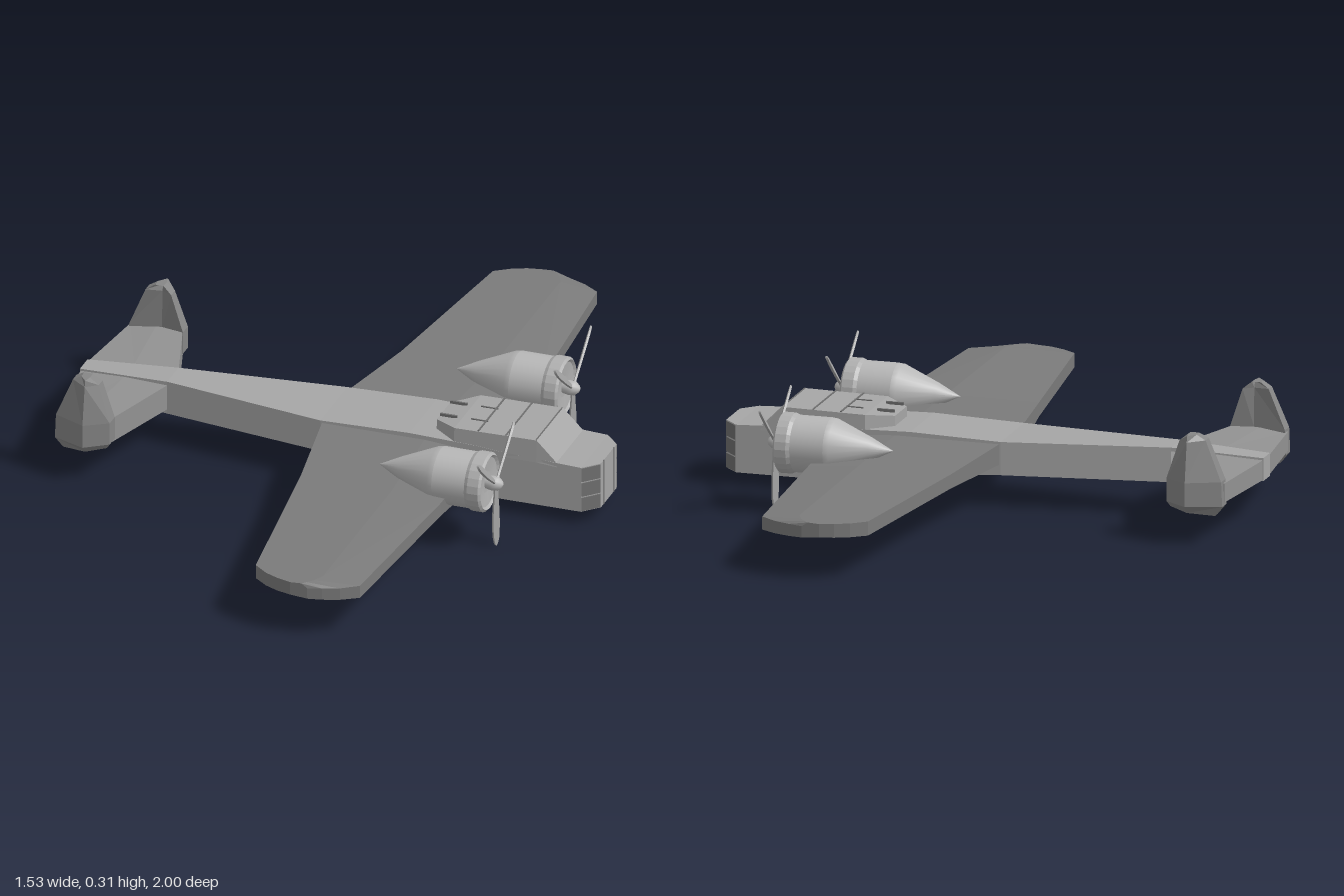
import * as THREE from 'three';

const paint = (color, flatShading = true) => new THREE.MeshStandardMaterial({ color, flatShading });
const bodyGrey = paint(0xa6a6a6);
const wingGrey = paint(0x7b7b7b);
const tailGrey = paint(0x929292);
const finGrey = paint(0x868686);
const darkGrey = paint(0x707070);
const bladeGrey = paint(0xa4a4a4);
const engineGrey = paint(0xb8b8b8, false);
const ringGrey = paint(0xb0b0b0);

// Closed skin through rings of equal point count, with flat end caps
function loft(name, material, rings) {
  let tris = [];
  const n = rings[0].length;
  for (let i = 0; i + 1 < rings.length; i++) {
    for (let j = 0; j < n; j++) {
      const k = (j + 1) % n, a = rings[i], b = rings[i + 1];
      tris.push([a[j], a[k], b[k]], [a[j], b[k], b[j]]);
    }
  }
  const first = rings[0], last = rings[rings.length - 1];
  for (let j = 1; j + 1 < n; j++) {
    tris.push([first[0], first[j + 1], first[j]], [last[0], last[j], last[j + 1]]);
  }
  // Turn the skin outwards if its signed volume is negative
  const v = (p) => new THREE.Vector3(...p);
  const volume = tris.reduce((s, t) => s + v(t[0]).dot(v(t[1]).cross(v(t[2]))), 0);
  if (volume < 0) tris = tris.map(([a, b, c]) => [a, c, b]);
  const geo = new THREE.BufferGeometry();
  geo.setAttribute('position', new THREE.Float32BufferAttribute(tris.flat(2), 3));
  geo.computeVertexNormals();
  const mesh = new THREE.Mesh(geo, material);
  mesh.name = name;
  return mesh;
}

function box(name, size, pos) {
  const mesh = new THREE.Mesh(new THREE.BoxGeometry(...size), darkGrey);
  mesh.name = name;
  mesh.position.set(...pos);
  return mesh;
}

// Rectangular section across the body
const section = (x, bottom, top, w, wTop = w) =>
  [[x, bottom, -w], [x, bottom, w], [x, top, wTop], [x, top, -wTop]];

function createBody() {
  const g = new THREE.Group();
  g.name = 'body';
  g.add(loft('fuselage', bodyGrey, [
    section(-0.77, 0.115, 0.18, 0.03),
    section(-0.51, 0.095, 0.193, 0.045),
    section(-0.04, 0.093, 0.187, 0.107),
    section(0.22, 0.075, 0.195, 0.108),
    section(0.42, 0.06, 0.19, 0.108),
    section(0.48, 0.04, 0.185, 0.108),
    section(0.72, 0.04, 0.175, 0.106),
    section(0.762, 0.04, 0.175, 0.062),
  ]));
  // Raised cockpit with a chamfered rear and a sloping windscreen
  g.add(loft('canopy', bodyGrey, [
    section(0.28, 0.18, 0.222, 0.055, 0.053),
    section(0.35, 0.17, 0.232, 0.108, 0.105),
    section(0.59, 0.17, 0.236, 0.108, 0.105),
    section(0.65, 0.165, 0.176, 0.107, 0.105),
  ]));
  for (const x of [0.42, 0.5, 0.588]) g.add(box('canopyFrame', [0.004, 0.003, 0.208], [x, 0.2355, 0]));
  for (const z of [-0.04, 0.04]) {
    g.add(box('canopyRail', [0.05, 0.003, 0.004], [0.4, 0.234, z]));
    g.add(box('noseFrame', [0.003, 0.135, 0.004], [0.762, 0.108, z]));
    g.add(box('rearGun', [0.05, 0.008, 0.006], [0.31, 0.232, z]));
  }
  // Dark panes on the chamfered nose corners
  for (const s of [1, -1]) {
    for (const y of [0.0625, 0.1075, 0.1525]) {
      const pane = box('nosePane', [0.057, 0.041, 0.005], [0.741, y, 0.084 * s]);
      pane.rotation.y = 0.81 * s;
      g.add(pane);
    }
  }
  return g;
}

// Wing section: blunt edges, with the underside falling towards the front
function wingRing(z, back, front, backBottom, bottom, top, s) {
  const mid = back + (front - back) * 0.65;
  return [
    [back, backBottom, z * s], [mid, (backBottom + bottom) / 2, z * s], [front, bottom, z * s],
    [front, top - 0.012, z * s], [mid, top, z * s], [back, top - 0.002, z * s],
  ];
}

function createWing(s) {
  return loft('wing', wingGrey, [
    wingRing(0.05, -0.045, 0.425, 0.12, 0.08, 0.185, s),
    wingRing(0.11, -0.035, 0.425, 0.122, 0.085, 0.182, s),
    wingRing(0.4, 0.01, 0.42, 0.126, 0.117, 0.168, s),
    wingRing(0.94, 0.078, 0.382, 0.124, 0.117, 0.166, s),
    wingRing(0.972, 0.12, 0.335, 0.124, 0.118, 0.165, s),
    wingRing(0.99, 0.16, 0.29, 0.124, 0.119, 0.165, s),
    wingRing(1.0, 0.2, 0.25, 0.124, 0.12, 0.164, s),
  ]);
}

function createTail(s) {
  const g = new THREE.Group();
  g.name = 'tail';
  const plane = (z, back, front, bottom, top) => [
    [back, bottom + 0.01, z * s], [(back + front) / 2, bottom, z * s], [front, bottom, z * s],
    [front, top, z * s], [(back + front) / 2, top, z * s], [back, top - 0.008, z * s],
  ];
  g.add(loft('tailplane', tailGrey, [
    plane(0, -0.769, -0.5, 0.108, 0.182),
    plane(0.045, -0.767, -0.51, 0.108, 0.182),
    plane(0.29, -0.74, -0.587, 0.108, 0.18),
  ]));
  // Fin bent outwards along its middle, narrowing to the top
  const fin = (yBack, yFront, back, front, inner, outer) => {
    const x = -0.645, y = (yBack + yFront) / 2, edge = (inner + outer) / 2;
    return [[back, yBack, inner * s], [x, y, (inner + 0.012) * s], [front, yFront, inner * s],
      [front, yFront, edge * s], [x, y, outer * s], [back, yBack, edge * s]];
  };
  g.add(loft('fin', finGrey, [
    fin(0.082, 0.1, -0.718, -0.59, 0.28, 0.33),
    fin(0.11, 0.115, -0.74, -0.58, 0.27, 0.35),
    fin(0.18, 0.18, -0.737, -0.58, 0.27, 0.35),
    fin(0.293, 0.288, -0.69, -0.615, 0.272, 0.332),
    fin(0.308, 0.308, -0.665, -0.64, 0.28, 0.328),
  ]));
  return g;
}

// Surface of revolution along +x, from [x, radius] pairs
function turned(name, profile, material, sides = 24) {
  const geo = new THREE.LatheGeometry(profile.map(([x, r]) => new THREE.Vector2(r, x)), sides);
  geo.rotateZ(-Math.PI / 2);
  const mesh = new THREE.Mesh(geo, material);
  mesh.name = name;
  return mesh;
}

function createEngine(s) {
  const g = new THREE.Group();
  g.name = 'engine';
  g.position.set(0, 0.192, 0.305 * s);
  g.add(turned('nacelleCone', [[0.205, 0], [0.27, 0.033], [0.37, 0.077], [0.39, 0.079]], engineGrey));
  g.add(turned('cowling', [[0.385, 0.079], [0.485, 0.079]], engineGrey));
  g.add(turned('cowlRing', [[0.48, 0.079], [0.49, 0.084], [0.522, 0.084], [0.528, 0.077],
    [0.522, 0.07], [0.518, 0.03], [0.518, 0]], ringGrey));
  g.add(turned('spinner', [[0.51, 0.016], [0.535, 0.021], [0.552, 0.019], [0.563, 0.01], [0.567, 0]], engineGrey, 16));

  // Three twisted paddle blades
  const shape = new THREE.Shape();
  shape.moveTo(-0.005, 0);
  shape.lineTo(-0.007, 0.04);
  shape.quadraticCurveTo(-0.015, 0.11, -0.01, 0.16);
  shape.quadraticCurveTo(-0.005, 0.19, 0, 0.19);
  shape.quadraticCurveTo(0.008, 0.185, 0.011, 0.16);
  shape.quadraticCurveTo(0.014, 0.1, 0.007, 0.04);
  shape.lineTo(0.005, 0);
  const geo = new THREE.ExtrudeGeometry(shape, { depth: 0.006, bevelEnabled: false });
  geo.translate(0, 0, -0.003);
  geo.rotateY(Math.PI * 1.5 + 0.45);
  for (const degrees of [180, 50, -50]) {
    const blade = new THREE.Mesh(geo, bladeGrey);
    blade.name = 'propellerBlade';
    blade.position.x = 0.545;
    blade.rotation.x = THREE.MathUtils.degToRad(degrees);
    g.add(blade);
  }
  return g;
}

export function createModel() {
  const model = new THREE.Group();
  model.name = 'twinEngineAircraft';
  model.add(createBody());
  for (const s of [1, -1]) model.add(createWing(s), createTail(s), createEngine(s));
  return model;
}
